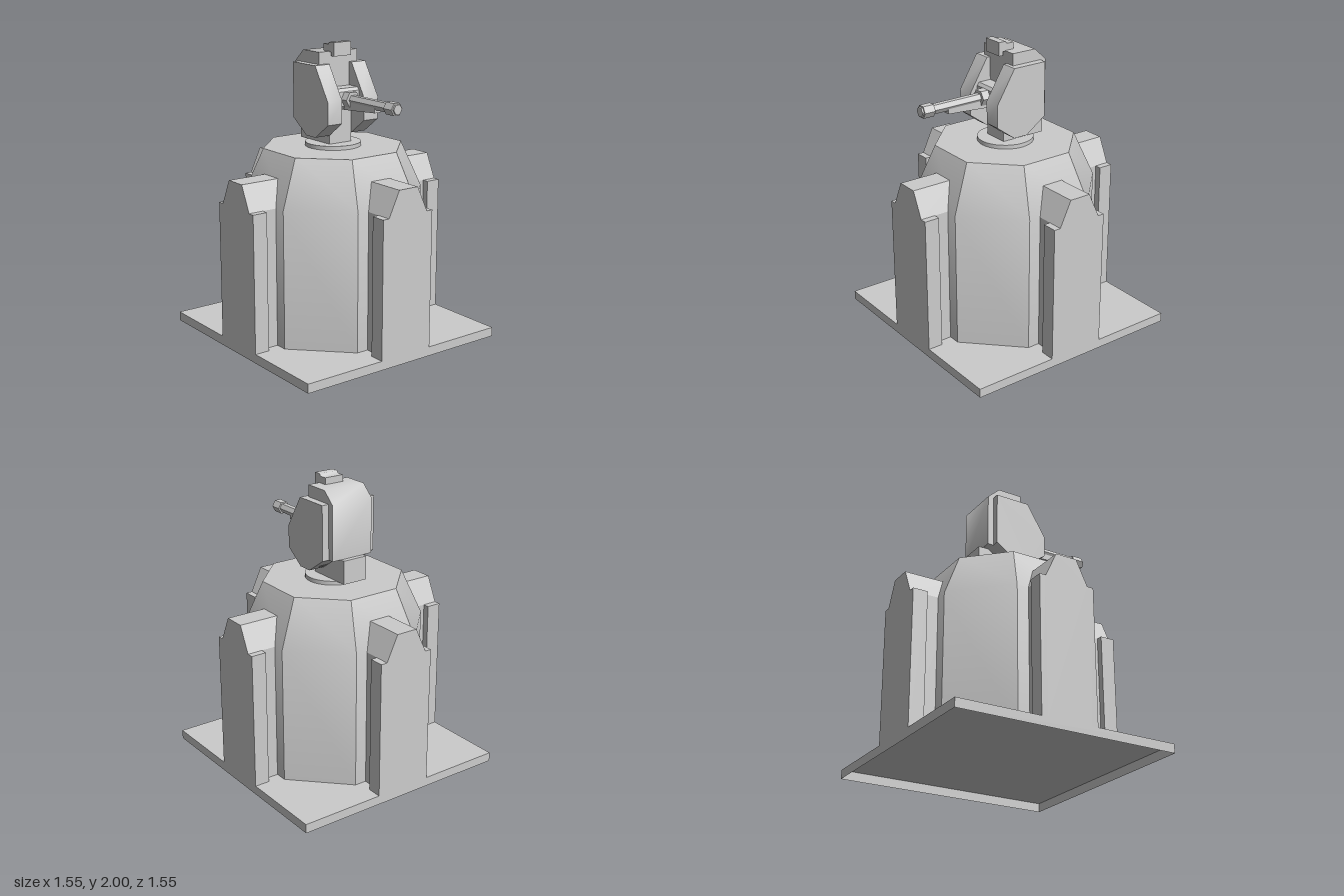
import * as THREE from 'three';
import { toCreasedNormals } from 'three/addons/utils/BufferGeometryUtils.js';

const material = new THREE.MeshStandardMaterial({ color: 0xcccccc });
const sheet = new THREE.MeshStandardMaterial({ color: 0xcccccc, side: THREE.DoubleSide });
const PLATE = 0.062; // height of the base plate

// Adds a named mesh, smoothing only edges below the crease angle
function add(parent, name, geometry, crease = 0.1, mat = material) {
  const mesh = new THREE.Mesh(toCreasedNormals(geometry, crease), mat);
  mesh.name = name;
  parent.add(mesh);
}

// Box given by its limits on each axis
function block(x0, x1, y0, y1, z0, z1) {
  return new THREE.BoxGeometry(x1 - x0, y1 - y0, z1 - z0)
    .translate((x0 + x1) / 2, (y0 + y1) / 2, (z0 + z1) / 2);
}

function extrude(points, depth) {
  const shape = new THREE.Shape(points.map(([a, b]) => new THREE.Vector2(a, b)));
  return new THREE.ExtrudeGeometry(shape, { depth, bevelEnabled: false });
}

// Side profile of [z, y] points, extruded across x0..x1
function slab(points, x0, x1) {
  return extrude(points, x1 - x0).rotateY(-Math.PI / 2).translate(x1, 0, 0);
}

// Hexagonal bar along z with corners at its sides
function hexBar(radius, z0, z1) {
  return new THREE.CylinderGeometry(radius, radius, z1 - z0, 6)
    .rotateY(Math.PI / 2)
    .rotateX(Math.PI / 2)
    .translate(0, 1.637, (z0 + z1) / 2);
}

function createBunker() {
  const bunker = new THREE.Group();
  bunker.name = 'bunker';

  // Base plate, hollow underneath: a box without its lower face
  const plate = block(-0.775, 0.775, 0, PLATE, -0.775, 0.775);
  const faces = Array.from(plate.index.array);
  faces.splice(18, 6);
  plate.setIndex(faces);
  add(bunker, 'basePlate', plate, 0.1, sheet);

  // Octagonal tower with sloped shoulders
  const profile = [[0.621, PLATE], [0.621, 0.99], [0.475, 1.305], [0, 1.305]]
    .map(([r, y]) => new THREE.Vector2(r, y));
  add(bunker, 'tower', new THREE.LatheGeometry(profile, 8, Math.PI / 8), 0.6);

  // Four buttresses with chamfered tops and outer flanges
  const section = [[-0.155, PLATE], [0.155, PLATE], [0.155, 0.99],
    [0.075, 1.16], [-0.075, 1.16], [-0.155, 0.99]];
  for (let i = 0; i < 4; i++) {
    const buttress = new THREE.Group();
    buttress.name = 'buttress';
    add(buttress, 'buttressWall', extrude(section, 0.325).translate(0, 0, 0.45));
    for (const s of [-1, 1]) {
      add(buttress, 'buttressFlange',
        block(s * 0.1775 - 0.0225, s * 0.1775 + 0.0225, PLATE, 0.99, 0.672, 0.775));
    }
    buttress.rotation.y = i * Math.PI / 2;
    bunker.add(buttress);
  }
  return bunker;
}

function createTurret() {
  const turret = new THREE.Group();
  turret.name = 'turret';

  // Swivel ring and neck
  add(turret, 'swivelRing',
    new THREE.CylinderGeometry(0.187, 0.187, 0.028, 32).translate(0, 1.318, 0), 0.6);
  add(turret, 'neck', block(-0.09, 0.09, 1.33, 1.6, -0.15, 0.08));
  add(turret, 'neckCounterweight', block(-0.09, 0.09, 1.33, 1.49, -0.24, -0.15));

  // Central housing, rounded over at the upper back
  add(turret, 'housing', slab([[0.055, 1.41], [0.055, 1.94], [-0.12, 1.94],
    [-0.207, 1.86], [-0.207, 1.49], [-0.16, 1.49], [-0.05, 1.41]], -0.155, 0.155), 0.9);

  // Armoured cheeks either side of the gun
  const cheek = [[0.08, 1.39], [0.215, 1.49], [0.215, 1.64], [0.08, 1.86],
    [-0.165, 1.86], [-0.165, 1.49], [-0.02, 1.39]];
  add(turret, 'leftCheek', slab(cheek, 0.09, 0.205), 0.6);
  add(turret, 'rightCheek', slab(cheek, -0.205, -0.09), 0.6);

  // Hooded sight on the roof
  add(turret, 'sight', slab([[0.1, 1.91], [0.1, 2], [0.05, 2], [0.04, 1.985],
    [-0.012, 1.985], [-0.012, 1.935], [0.07, 1.935], [0.07, 1.91]], -0.07, 0.07), 1.1);
  return turret;
}

function createGun() {
  const gun = new THREE.Group();
  gun.name = 'gun';
  // Chamfered mount between the cheeks
  add(gun, 'gunMount', slab([[0.05, 1.565], [0.14, 1.565], [0.16, 1.59],
    [0.16, 1.685], [0.145, 1.705], [0.05, 1.705]], -0.09, 0.09));
  add(gun, 'barrelCollar', hexBar(0.056, 0.14, 0.215));
  add(gun, 'barrel', hexBar(0.034, 0.15, 0.662));
  add(gun, 'muzzle', hexBar(0.045, 0.573, 0.65));
  // Tapered support under the barrel
  add(gun, 'barrelSupport', slab([[0.15, 1.565], [0.465, 1.588],
    [0.465, 1.63], [0.15, 1.63]], -0.025, 0.025));
  return gun;
}

export function createModel() {
  const model = new THREE.Group();
  model.name = 'turretBunker';
  model.add(createBunker(), createTurret(), createGun());
  return model;
}
